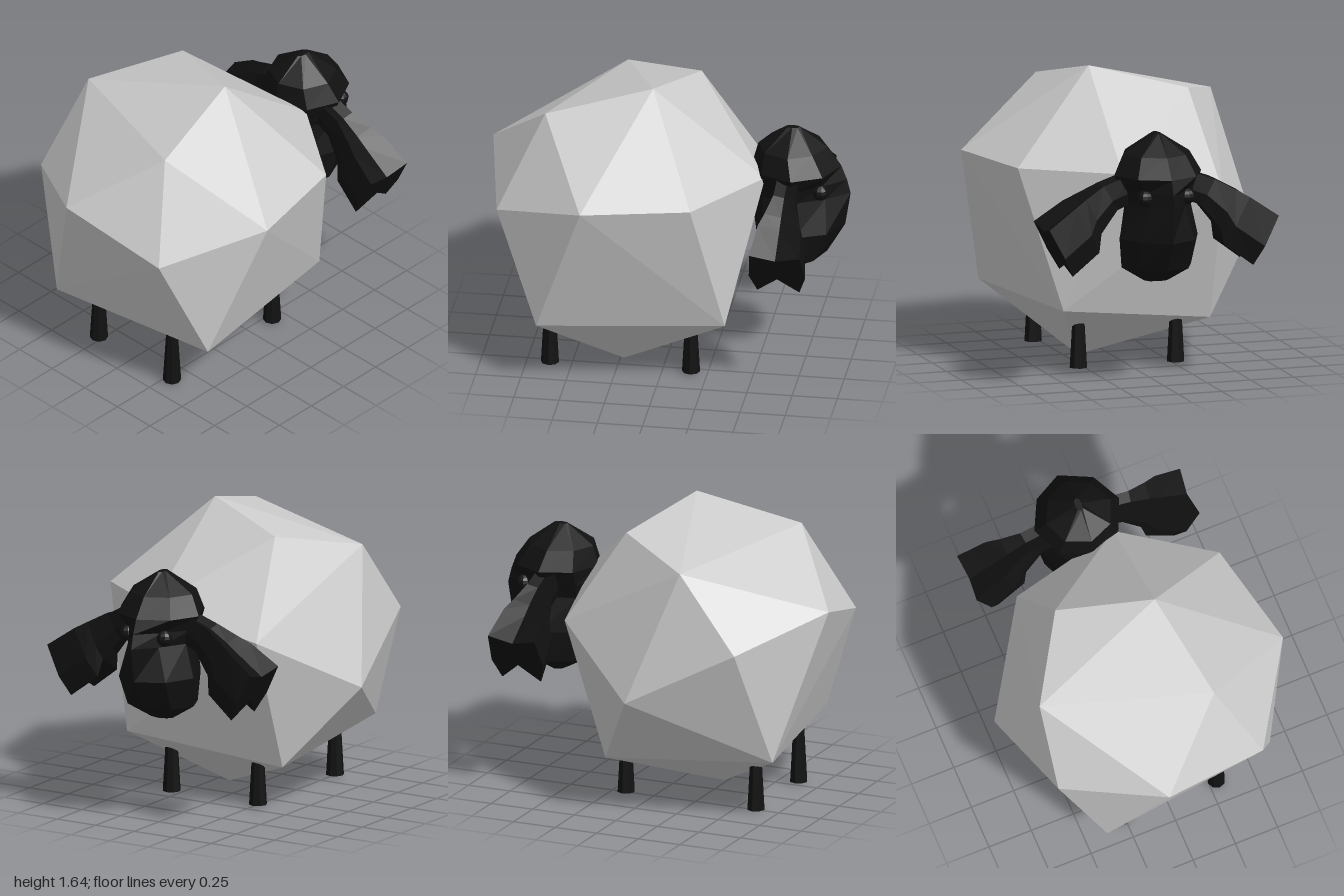
import * as THREE from 'three';
import { ConvexGeometry } from 'three/addons/geometries/ConvexGeometry.js';

const V = (x, y, z) => new THREE.Vector3(x, y, z);
const MID = 0.02; // z of the head's mirror plane

// Closed flat-sided skin over a list of rings, always wound outwards
function loft(rings) {
  const tris = [];
  const n = rings[0].length;
  for (let r = 0; r < rings.length - 1; r++) {
    for (let i = 0; i < n; i++) {
      const j = (i + 1) % n;
      const [a, b, c, d] = [rings[r][i], rings[r][j], rings[r + 1][j], rings[r + 1][i]];
      tris.push([a, b, c], [a, c, d]);
    }
  }
  const cap = (ring, flip) => {
    const c = ring.reduce((s, p) => s.add(p), V(0, 0, 0)).divideScalar(n);
    ring.forEach((p, i) => {
      const q = ring[(i + 1) % n];
      tris.push(flip ? [c, q, p] : [c, p, q]);
    });
  };
  cap(rings[0], true);
  cap(rings[rings.length - 1], false);
  const volume = tris.reduce((s, [a, b, c]) => s + a.dot(b.clone().cross(c)), 0);
  const points = tris.flatMap((t) => (volume < 0 ? [t[0], t[2], t[1]] : t));
  const geo = new THREE.BufferGeometry().setFromPoints(points);
  geo.computeVertexNormals();
  return geo;
}

export function createModel() {
  const model = new THREE.Group();
  const wool = new THREE.MeshStandardMaterial({ color: 0xcccccc, flatShading: true });
  const black = new THREE.MeshStandardMaterial({ color: 0x111111, flatShading: true });
  const add = (name, geo, mat, parent = model) => {
    const mesh = new THREE.Mesh(geo, mat);
    mesh.name = name;
    parent.add(mesh);
    return mesh;
  };

  // Faceted woolly body: hull of a few corner points
  const corners = [
    [-0.07, 1.64, 0.16], [0.12, 1.52, -0.35], [-0.33, 1.42, -0.63], [-0.65, 1.5, 0.27],
    [-0.38, 1.15, 0.79], [0.21, 1.15, 0.66], [0.55, 1.15, 0.17], [-0.89, 0.99, 0.46],
    [-1, 1.15, -0.14], [-0.67, 1.0, -0.66], [0.45, 1.0, -0.44], [-0.07, 0.69, -0.79],
    [0.37, 0.37, 0.45], [-0.65, 0.37, 0.6], [-0.79, 0.34, -0.42], [0.2, 0.25, -0.45],
    [-0.23, 0, 0.17],
  ];
  add('body', new ConvexGeometry(corners.map((c) => V(...c))), wool);

  // Four tapered legs
  const legGeo = new THREE.CylinderGeometry(0.027, 0.05, 0.4, 8);
  for (const [end, x] of [['front', 0.16], ['back', -0.62]]) {
    for (const [side, z] of [['Right', 0.295], ['Left', -0.265]]) {
      add(`${end}${side}Leg`, legGeo, black).position.set(x, 0.21, z);
    }
  }

  // Head: stacked rings of [y, back x, front x, half width, corner pinch]
  const head = new THREE.Group();
  head.name = 'head';
  model.add(head);
  const levels = [
    [1.4, 0.64, 0.72, 0.02, 1], [1.29, 0.49, 0.87, 0.19, 0.95], [1.18, 0.46, 0.95, 0.25, 0.95],
    [1.1, 0.45, 0.98, 0.21, 0.75], [1.02, 0.45, 1.0, 0.18, 0.78], [0.83, 0.47, 0.97, 0.225, 0.95],
    [0.66, 0.49, 0.87, 0.2, 1], [0.58, 0.64, 0.73, 0.07, 1],
  ];
  const headRings = levels.map(([y, back, front, half, pinch]) =>
    Array.from({ length: 8 }, (_, i) => {
      const a = (i * Math.PI) / 4;
      // only the forward corners are pinched, forming the eye sockets
      const k = i === 1 || i === 7 ? pinch : 1;
      return V((back + front) / 2 + (Math.cos(a) * k * (front - back)) / 2, y, MID + Math.sin(a) * k * half);
    }));
  add('skull', loft(headRings), black, head);

  // Drooping ears: sections of [upper z, upper y, lower z, lower y, half width]
  const earSections = [
    [0.12, 1.2, 0.12, 1.04, 0.06], [0.32, 1.13, 0.24, 0.99, 0.065],
    [0.43, 1.07, 0.34, 0.87, 0.1], [0.5, 1.03, 0.36, 0.77, 0.13], [0.66, 0.92, 0.52, 0.65, 0.155],
  ];
  // Section outline of [down from upper edge, across], grooved above and below
  const outline = [[0, -0.9], [0.12, 0], [0, 0.9], [0.6, 1], [1, 0.75], [0.65, 0], [1, -0.75], [0.6, -1]];
  for (const [side, s] of [['right', 1], ['left', -1]]) {
    const rings = earSections.map(([uz, uy, lz, ly, w]) =>
      outline.map(([t, u]) => V(0.68 + u * w, uy + (ly - uy) * t, MID + s * (uz + (lz - uz) * t))));
    add(`${side}Ear`, loft(rings), black, head);
    add(`${side}Eye`, new THREE.SphereGeometry(0.045, 10, 8), black, head).position.set(0.85, 1.07, MID + s * 0.12);
  }
  return model;
}
